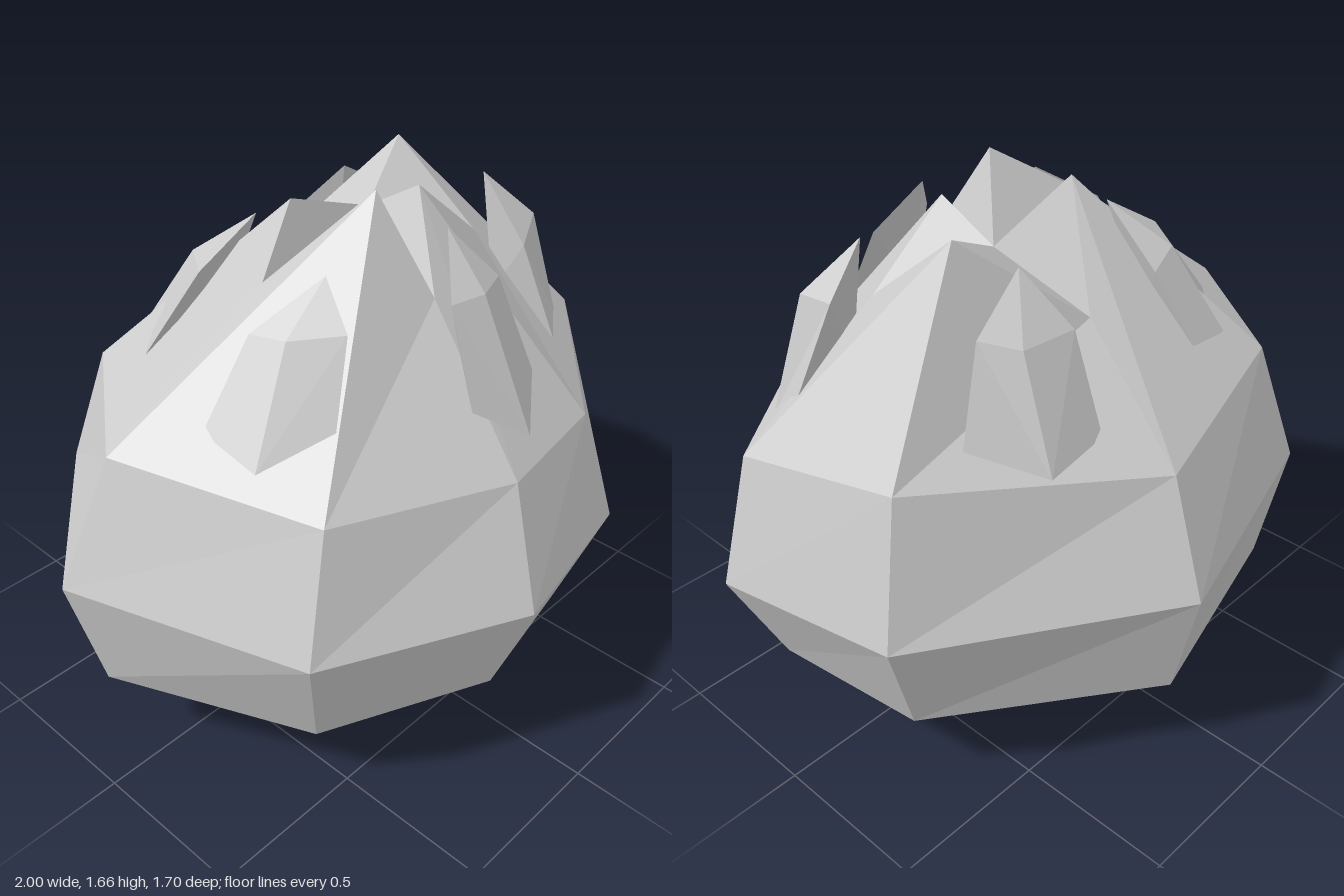
import * as THREE from 'three';

const material = new THREE.MeshStandardMaterial({ color: 0xcccccc, flatShading: true });
const thornMaterial = new THREE.MeshStandardMaterial({ color: 0xcccccc, flatShading: true, side: THREE.DoubleSide });

const P = (x, y, z) => new THREE.Vector3(x, y, z);

// Turns a list of triangles (three points each) into a faceted mesh
function facetMesh(name, triangles, mat) {
  const geometry = new THREE.BufferGeometry().setFromPoints(triangles.flat());
  geometry.computeVertexNormals();
  const mesh = new THREE.Mesh(geometry, mat);
  mesh.name = name;
  return mesh;
}

// Eight-sided irregular rings from the base up to the jagged rim
const bottom = P(0.08, 0, 0.02);
const mouth = P(0.19, 1.49, -0.07);
const rings = [
  [P(0.45, 0.04, -0.21), P(0.6, 0.055, 0.13), P(0.28, 0.07, 0.38), P(-0.1, 0.085, 0.42),
    P(-0.43, 0.1, 0.28), P(-0.6, 0.12, -0.06), P(-0.35, 0.11, -0.38), P(0.1, 0.09, -0.5)],
  [P(0.77, 0.27, -0.3), P(0.83, 0.26, 0.21), P(0.33, 0.27, 0.63), P(-0.12, 0.295, 0.73),
    P(-0.61, 0.265, 0.48), P(-0.905, 0.31, -0.1), P(-0.52, 0.31, -0.58), P(0.17, 0.295, -0.76)],
  [P(0.92, 0.675, -0.39), P(1, 0.62, 0.22), P(0.46, 0.6, 0.73), P(-0.11, 0.625, 0.85),
    P(-0.72, 0.645, 0.57), P(-1, 0.7, -0.12), P(-0.57, 0.7, -0.64), P(0.19, 0.67, -0.85)],
  [P(0.82, 1.1, -0.33), P(0.89, 1.01, 0.21), P(0.42, 0.945, 0.62), P(-0.03, 0.965, 0.7),
    P(-0.59, 1.01, 0.5), P(-0.83, 1.08, -0.08), P(-0.49, 1.08, -0.54), P(0.14, 1.0, -0.7)],
  // rim: peaks and notches alternate
  [P(0.44, 1.62, -0.17), P(0.47, 1.38, 0.12), P(0.21, 1.6, 0.11), P(0.03, 1.38, 0.33),
    P(-0.02, 1.665, 0.15), P(-0.34, 1.46, 0.03), P(-0.13, 1.61, -0.07), P(0.09, 1.33, -0.34)],
];

function createBody() {
  const triangles = [];
  for (let i = 0; i < 8; i++) {
    const j = (i + 1) % 8;
    triangles.push([bottom, rings[0][i], rings[0][j]]);
    for (let r = 0; r < rings.length - 1; r++) {
      const low = rings[r], high = rings[r + 1];
      triangles.push([low[i], high[i], low[j]], [high[i], high[j], low[j]]);
    }
    triangles.push([rings[4][i], mouth, rings[4][j]]);
  }
  return facetMesh('body', triangles, material);
}

// A folded thorn: tip, two arms running down, a shoulder and an outer foot
function createThorn(tip, armA, armB, shoulder, foot) {
  const inner = armA.clone().lerp(armB, 0.5).lerp(tip, 0.35);
  inner.x *= 0.85;
  inner.z *= 0.85;
  inner.y -= 0.1;
  const triangles = [];
  for (const [arm, other] of [[armA, armB], [armB, armA]]) {
    const bulge = arm.clone().sub(other).setY(0).setLength(0.045);
    const elbow = tip.clone().lerp(arm, 0.48).add(bulge);
    elbow.y += 0.05;
    triangles.push([tip, elbow, shoulder], [elbow, arm, foot], [elbow, foot, shoulder],
      [tip, inner, elbow], [elbow, inner, arm]);
  }
  return facetMesh('thorn', triangles, thornMaterial);
}

const thorns = [
  [P(0.11, 1.56, 0.3), P(-0.07, 1.15, 0.56), P(0.26, 1.13, 0.52), P(0.1, 1.41, 0.45), P(0.1, 1.03, 0.64)],
  [P(0.5, 1.56, 0.12), P(0.75, 1.18, 0.12), P(0.55, 1.06, 0.4), P(0.64, 1.41, 0.22), P(0.73, 1.04, 0.28)],
  [P(0.3, 1.53, -0.27), P(0.64, 1.18, -0.4), P(0.25, 1.1, -0.53), P(0.42, 1.38, -0.4), P(0.47, 1.08, -0.55)],
  [P(-0.17, 1.55, -0.17), P(-0.52, 1.19, -0.28), P(-0.22, 1.11, -0.52), P(-0.28, 1.42, -0.33), P(-0.38, 1.12, -0.5)],
  [P(-0.28, 1.52, 0.21), P(-0.64, 1.15, 0.1), P(-0.44, 1.19, 0.4), P(-0.45, 1.4, 0.23), P(-0.63, 1.1, 0.29)],
];

export function createModel() {
  const model = new THREE.Group();
  model.name = 'thornyBulb';
  model.add(createBody());
  for (const points of thorns) model.add(createThorn(...points));
  return model;
}
